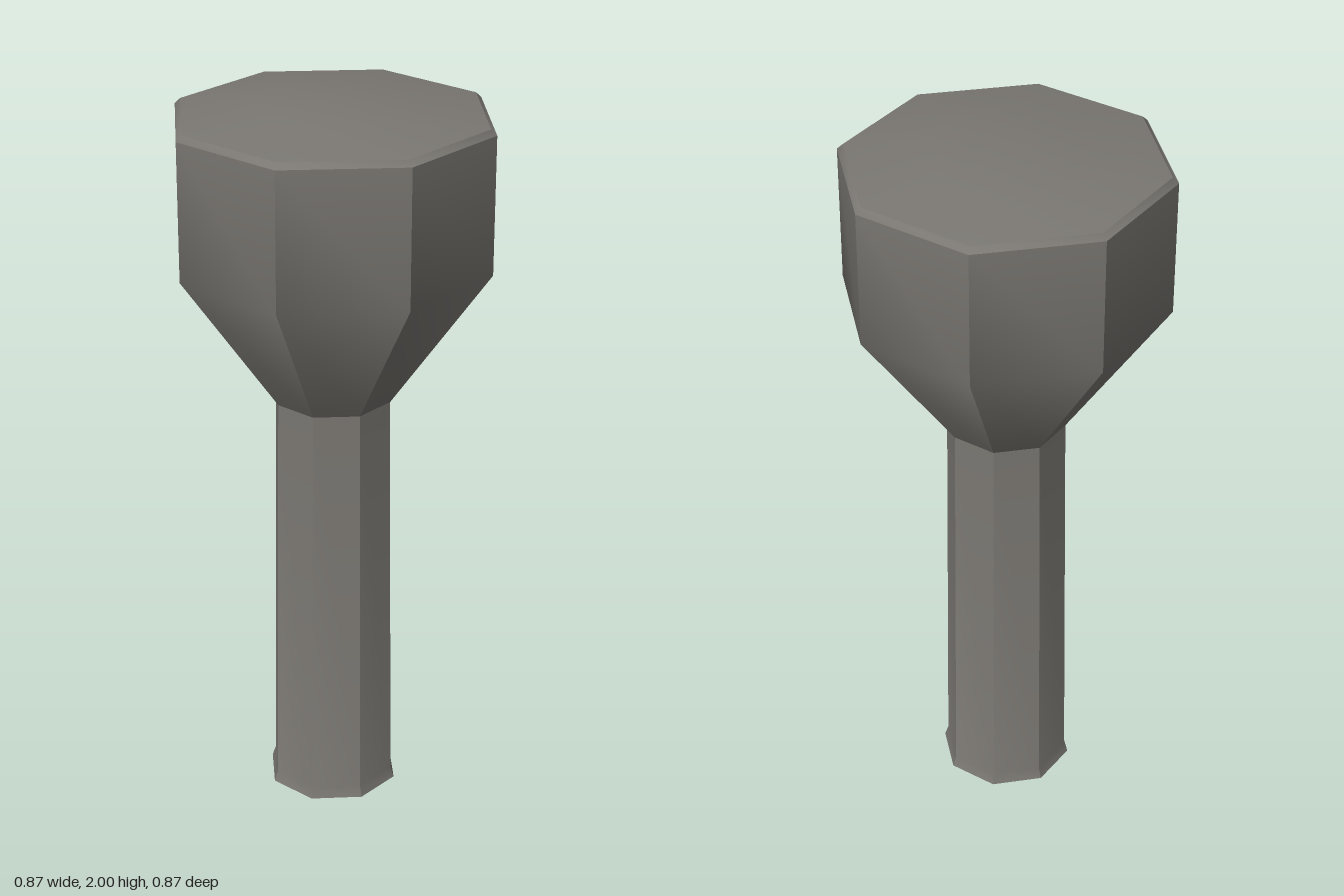
import * as THREE from 'three';
import { toCreasedNormals } from 'three/addons/utils/BufferGeometryUtils.js';

const SIDES = 8;
const CREASE = THREE.MathUtils.degToRad(35); // sharp between the eight sides, smooth along the profile

// Eight-sided turned part from [radius, height] pairs, bottom to top
function turned(name, profile, material) {
  const points = profile.map(([r, y]) => new THREE.Vector2(r, y));
  const geometry = toCreasedNormals(new THREE.LatheGeometry(points, SIDES), CREASE);
  const mesh = new THREE.Mesh(geometry, material);
  mesh.name = name;
  return mesh;
}

export function createModel() {
  const model = new THREE.Group();
  model.name = 'mallet';
  const stone = new THREE.MeshStandardMaterial({ color: 0x7a7772 });
  stone.name = 'warm grey';

  // Slightly tapered handle with a small flare at its closed foot
  model.add(turned('handle', [
    [0, 0], [0.185, 0], [0.175, 0.03], [0.162, 1.175],
  ], stone));

  // Head: sloped underside, straight sides, narrow bevel and shallow domed top
  model.add(turned('head', [
    [0.162, 1.175], [0.436, 1.57], [0.436, 1.945], [0.42, 1.96], [0.21, 1.992], [0, 2],
  ], stone));

  return model;
}
